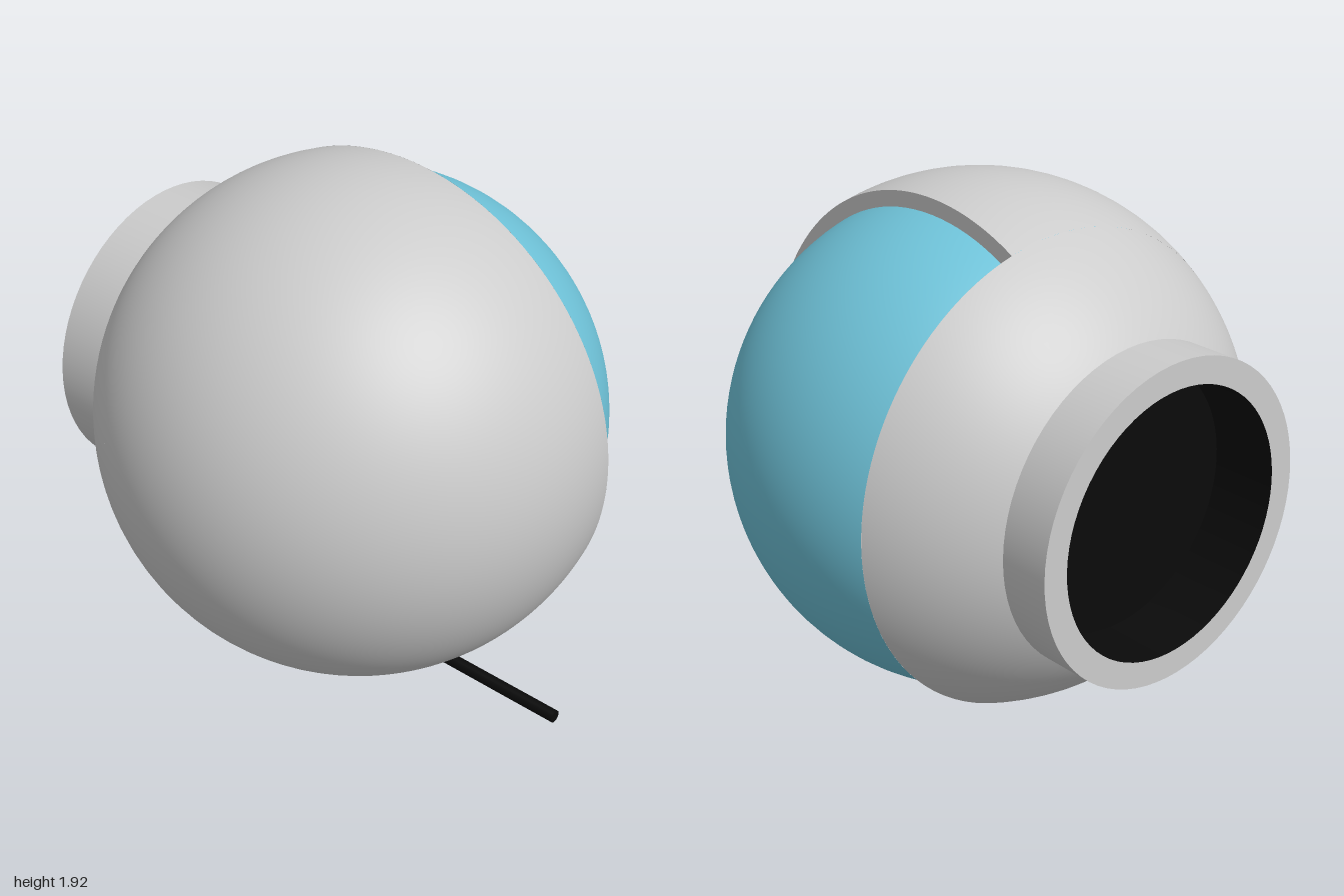
import * as THREE from 'three';

const R = 0.96, RI = 0.905;      // shell and inner ball radii
const CUT_X = 0.23, CUT_Z = -0.42; // planes of the notch in the shell
const NECK_Z = -0.77, BACK_Z = -0.96, NECK_R = 0.575, HOLE_R = 0.48;

const material = (color) => new THREE.MeshStandardMaterial({ color, side: THREE.DoubleSide });

// Sphere patch around z: thetaAt(t) gives the row, startAt(theta) the first angle of its symmetric arc
function spherePatch(radius, rows, cols, thetaAt, startAt = () => 0) {
  const pos = [], nor = [], index = [];
  for (let i = 0; i <= rows; i++) {
    const th = thetaAt(i / rows), a = startAt(th);
    for (let j = 0; j <= cols; j++) {
      const ph = a + (2 * Math.PI - 2 * a) * j / cols;
      const n = [Math.sin(th) * Math.cos(ph), Math.sin(th) * Math.sin(ph), Math.cos(th)];
      nor.push(...n);
      pos.push(...n.map((v) => v * radius));
      if (i < rows && j < cols) {
        const k = i * (cols + 1) + j, m = k + cols + 1;
        index.push(k, m, k + 1, k + 1, m, m + 1);
      }
    }
  }
  const g = new THREE.BufferGeometry();
  g.setAttribute('position', new THREE.Float32BufferAttribute(pos, 3));
  g.setAttribute('normal', new THREE.Float32BufferAttribute(nor, 3));
  g.setIndex(index);
  return g;
}

// Flat band between shell and ball on a plane at distance d, trimmed where the arc meets the other plane
function cutFace(d, limit, mid) {
  const ro = Math.sqrt(R * R - d * d), ri = Math.sqrt(0.9 * 0.9 - d * d);
  const ao = Math.acos(limit / ro), ai = Math.acos(limit / ri);
  const s = new THREE.Shape();
  s.absarc(0, 0, ro, mid - ao, mid + ao, false);
  s.absarc(0, 0, ri, mid + ai, mid - ai, true);
  return new THREE.ShapeGeometry(s, 96);
}

// Open tube along z
function tube(r, z0, z1) {
  return new THREE.CylinderGeometry(r, r, z1 - z0, 72, 1, true)
    .rotateX(Math.PI / 2).translate(0, 0, (z0 + z1) / 2);
}

export function createModel() {
  const group = new THREE.Group();
  group.name = 'ballHousing';
  const grey = material(0xcccccc), blue = material(0x6fc3d9), black = material(0x0a0a0a);
  const add = (name, geometry, mat) => {
    const mesh = new THREE.Mesh(geometry, mat);
    mesh.name = name;
    group.add(mesh);
    return mesh;
  };

  // Shell: front cap, notched middle and full rear zone
  const th0 = Math.asin(CUT_X / R), th1 = Math.acos(CUT_Z / R), th2 = Math.acos(NECK_Z / R);
  add('shellFrontCap', spherePatch(R, 8, 96, (t) => th0 * t), grey);
  add('shellNotched', spherePatch(R, 48, 96, (t) => th0 + (th1 - th0) * t * t,
    (th) => Math.acos(Math.min(1, CUT_X / (R * Math.sin(th))))), grey);
  add('shellRear', spherePatch(R, 14, 96, (t) => th1 + (th2 - th1) * t), grey);

  // Exposed thickness of the shell along the notch
  add('notchSideFace', cutFace(CUT_X, CUT_Z, Math.PI).rotateY(Math.PI / 2).translate(CUT_X, 0, 0), grey);
  add('notchBackFace', cutFace(CUT_Z, CUT_X, 0).translate(0, 0, CUT_Z), grey);

  // Inner ball, open behind where the neck socket sits
  add('innerBall', spherePatch(RI, 48, 96, (t) => 2.4 * t), blue);

  // Rear neck with its rim and dark socket
  add('neck', tube(NECK_R, BACK_Z, NECK_Z), grey);
  add('neckRim', new THREE.RingGeometry(HOLE_R, NECK_R, 72).rotateY(Math.PI).translate(0, 0, BACK_Z), grey);
  add('socketWall', tube(HOLE_R, BACK_Z, BACK_Z + 0.25), black);
  add('socketFloor', new THREE.CircleGeometry(HOLE_R, 72).rotateY(Math.PI).translate(0, 0, BACK_Z + 0.25), black);

  // Thin rod sticking out of the lower front
  add('rod', new THREE.CylinderGeometry(0.023, 0.023, 0.6, 24).rotateX(Math.PI / 2), black)
    .position.set(-0.155, -0.768, 0.74);

  group.position.set(0.025, 0.965, -0.04);
  const root = new THREE.Group();
  root.add(group);
  return root;
}
